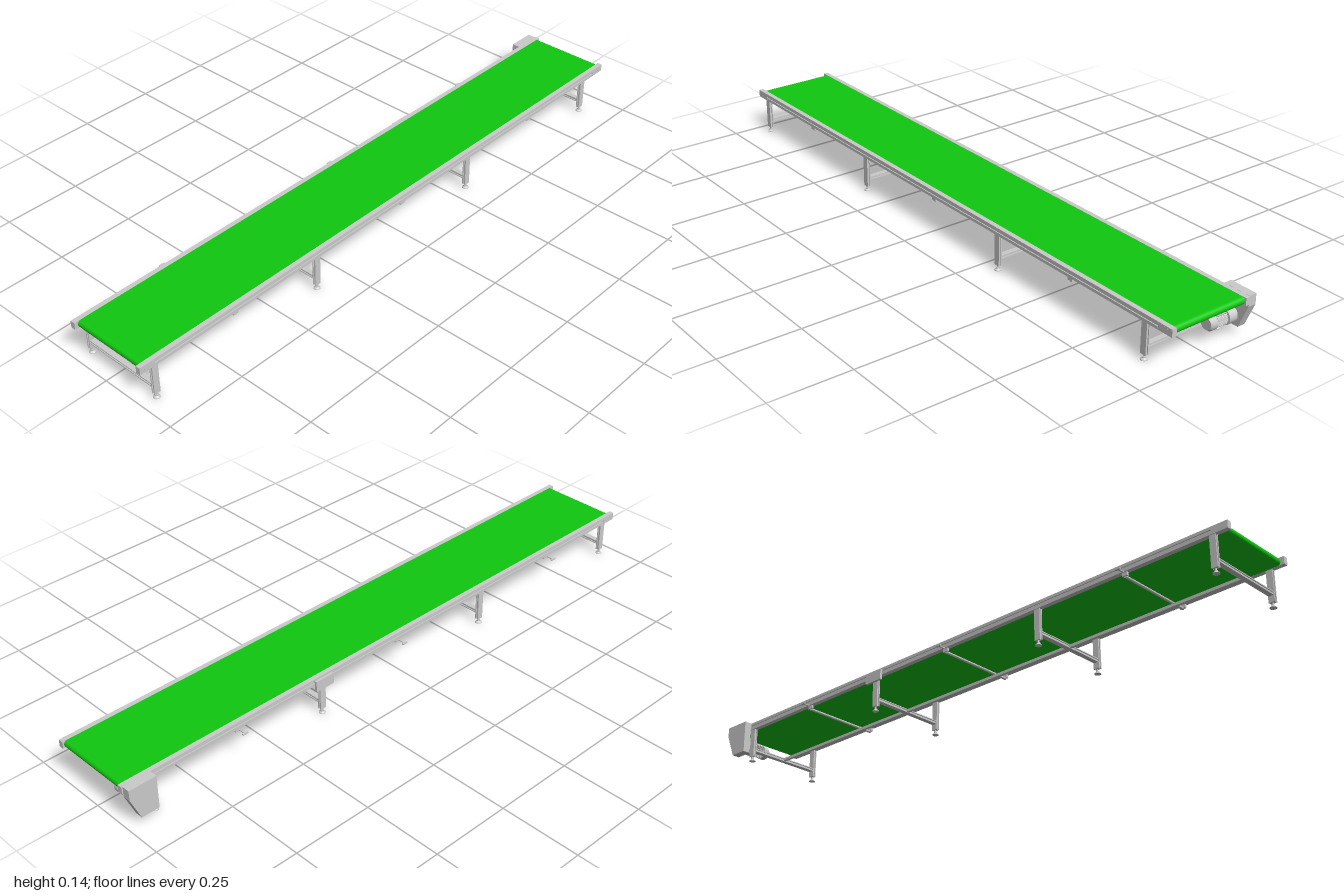
import * as THREE from 'three';

const grey = new THREE.MeshStandardMaterial({ color: 0xcccccc });
const green = new THREE.MeshStandardMaterial({ color: 0x10c810 });

function add(parent, name, geo, x = 0, y = 0, z = 0, mat = grey) {
  const m = new THREE.Mesh(geo, mat);
  m.name = name;
  m.position.set(x, y, z);
  parent.add(m);
  return m;
}

const box = (w, h, d) => new THREE.BoxGeometry(w, h, d);
const rodZ = (r, len, sides = 20, r2 = r) =>
  new THREE.CylinderGeometry(r, r2, len, sides).rotateX(Math.PI / 2);

// Slotted profile, drawn in (depth, height) around its centre
function slotted(w, h, length) {
  const a = w / 2, b = h / 2, s = 0.0025, d = 0.003;
  const shape = new THREE.Shape([
    [-a, -b], [a, -b], [a, -s], [a - d, -s], [a - d, s], [a, s],
    [a, b], [-a, b], [-a, s], [d - a, s], [d - a, -s], [-a, -s],
  ].map(([x, y]) => new THREE.Vector2(x, y)));
  return new THREE.ExtrudeGeometry(shape, { depth: length, bevelEnabled: false })
    .translate(0, 0, -length / 2);
}

const FRONT = 0.1425, BACK = -0.115, MID = (FRONT + BACK) / 2;
const SPAN = FRONT - BACK;

function buildLeg(x, z) {
  const leg = new THREE.Group();
  leg.name = 'leg';
  leg.position.set(x, 0, z);
  add(leg, 'legPost', slotted(0.02, 0.011, 0.1).rotateX(Math.PI / 2), 0, 0.066, 0);
  // Levelling foot: disc, cone and threaded stem
  const foot = [[0, 0], [0.01, 0], [0.01, 0.002], [0.005, 0.006], [0.005, 0.009],
    [0.0028, 0.009], [0.0028, 0.017]].map(([r, y]) => new THREE.Vector2(r, y));
  const lathe = new THREE.LatheGeometry(foot, 16).toNonIndexed();
  lathe.computeVertexNormals();
  add(leg, 'levellingFoot', lathe);
  return leg;
}

function buildBelt() {
  // Flat loop with round ends
  const r = 0.0112, x0 = -0.978, x1 = 0.984;
  const s = new THREE.Shape();
  s.moveTo(x0, -r);
  s.lineTo(x1, -r);
  s.absarc(x1, 0, r, -Math.PI / 2, Math.PI / 2, false);
  s.lineTo(x0, r);
  s.absarc(x0, 0, r, Math.PI / 2, Math.PI * 1.5, false);
  return new THREE.ExtrudeGeometry(s, { depth: 0.243, bevelEnabled: false, curveSegments: 16 })
    .translate(0, 0, -0.1215);
}

function buildDrive() {
  const drive = new THREE.Group();
  drive.name = 'driveUnit';
  // Tapered transmission cover on the back
  const s = new THREE.Shape([[0.908, 0.03], [0.965, 0.03], [0.996, 0.103], [0.996, 0.135], [0.908, 0.135]]
    .map(([x, y]) => new THREE.Vector2(x, y)));
  add(drive, 'transmissionCover',
    new THREE.ExtrudeGeometry(s, { depth: 0.025, bevelEnabled: false }), 0, 0, -0.148);
  // Motor lying across the conveyor
  const x = 0.943, y = 0.063;
  add(drive, 'gearbox', rodZ(0.024, 0.028, 28), x, y, -0.104);
  add(drive, 'gearboxFlange', rodZ(0.019, 0.008, 28), x, y, -0.12);
  add(drive, 'motorBody', rodZ(0.0165, 0.045, 24), x, y, -0.069);
  add(drive, 'fanCover', rodZ(0.0225, 0.016, 24), x, y, -0.042);
  add(drive, 'fanCoverEnd', rodZ(0.018, 0.006, 24, 0.0225), x, y, -0.031).rotation.set(0, 0, 0);
  for (let i = 0; i < 16; i++) {
    const fin = add(drive, 'coolingFin', box(0.042, 0.0016, 0.036), x, y, -0.07);
    fin.rotation.z = (i * Math.PI) / 16;
  }
  add(drive, 'terminalBox', box(0.018, 0.012, 0.026), x, y + 0.017, -0.07);
  return drive;
}

export function createModel() {
  const model = new THREE.Group();
  model.name = 'beltConveyor';

  add(model, 'belt', buildBelt(), 0, 0.1233, 0.0135, green);

  // Side rails with end bearing blocks and belt tensioners
  for (const [z, side] of [[FRONT, 1], [BACK, -1]]) {
    add(model, 'sideRail', slotted(0.015, 0.023, 1.99).rotateY(Math.PI / 2), 0, 0.1235, z);
    for (const end of [-1, 1]) {
      add(model, 'bearingBlock', box(0.05, 0.017, 0.0155), end * 0.975, 0.1235, z);
      add(model, 'railEndPlate', box(0.005, 0.023, 0.015), end * 0.9975, 0.1235, z);
      add(model, 'rollerShaft', rodZ(0.004, 0.016), end * 0.981, 0.1235, z);
      add(model, 'railJointPlate', box(0.04, 0.006, 0.0152), end * 0.94, 0.115, z);
    }
  }

  // Leg frames
  for (const x of [-0.95, -0.355, 0.305, 0.9]) {
    model.add(buildLeg(x, FRONT), buildLeg(x, BACK));
    add(model, 'legCrossbar', slotted(0.016, 0.011, SPAN - 0.01), x, 0.0405, MID);
  }
  add(model, 'centreStretcher', box(1.85, 0.009, 0.009), -0.025, 0.0405, MID);

  // Return rollers hung below the rails
  for (const x of [-0.665, 0.005, 0.613]) {
    add(model, 'returnRoller', rodZ(0.0042, SPAN), x, 0.1005, MID);
    for (const z of [FRONT, BACK]) {
      add(model, 'rollerBracket', box(0.018, 0.012, 0.007), x, 0.107, z);
    }
    add(model, 'sensorStem', rodZ(0.0025, 0.028, 12), x, 0.11, -0.137);
    add(model, 'sensorHead', box(0.018, 0.004, 0.006), x, 0.11, -0.147);
  }

  // Small control box on the back rail
  add(model, 'controlBox', box(0.065, 0.034, 0.008), 0.305, 0.112, -0.1265);

  model.add(buildDrive());
  return model;
}
